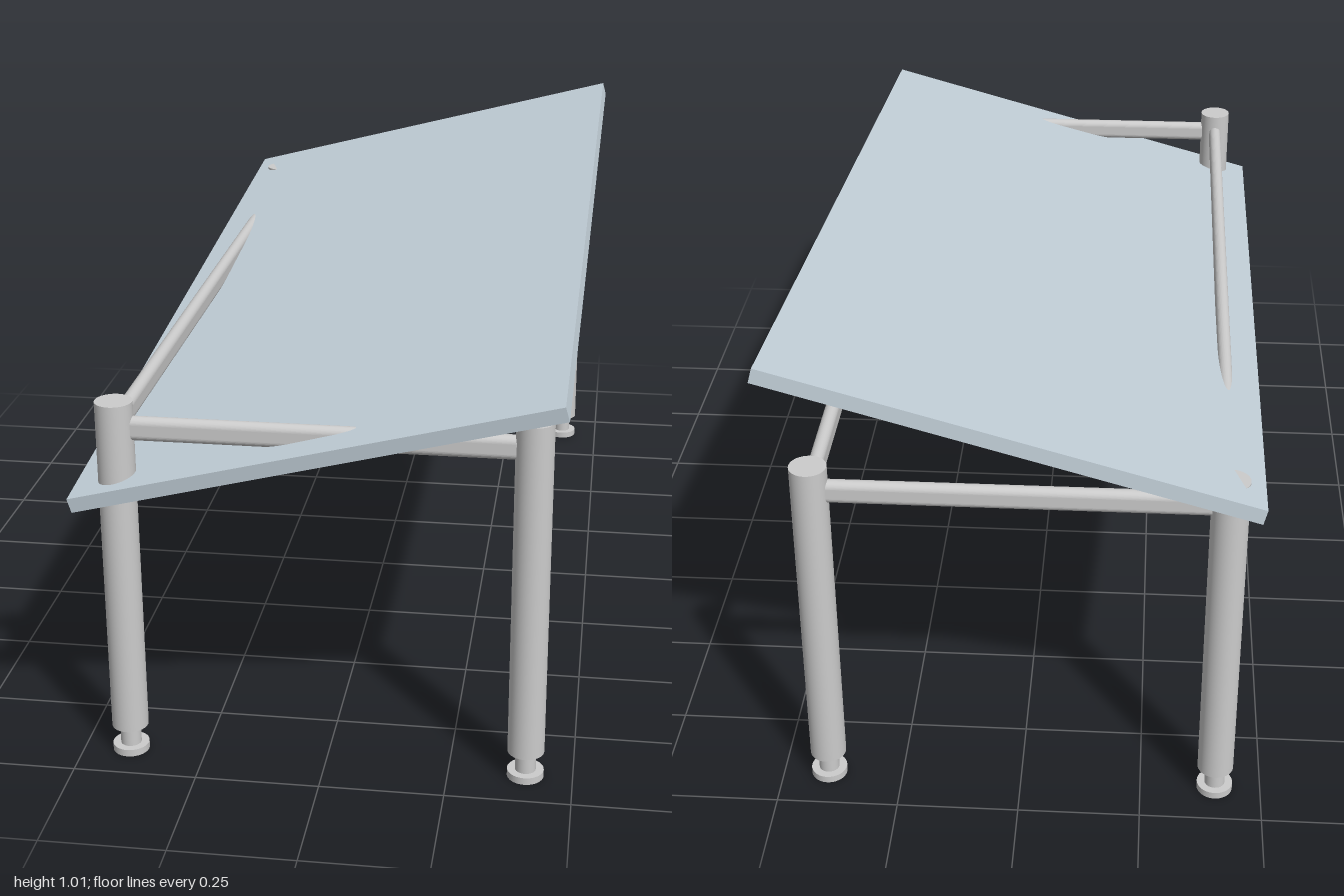
import * as THREE from 'three';

const grey = new THREE.MeshStandardMaterial({ color: 0xcccccc });
const topColor = new THREE.MeshStandardMaterial({ color: 0xc3d0d9 });
const LEG_X = 0.405, LEG_Z = 0.905, LEG_R = 0.037, RAIL_Y = 0.7125;

// Upright cylinder between two heights
function post(name, radius, y0, y1) {
  const mesh = new THREE.Mesh(new THREE.CylinderGeometry(radius, radius, y1 - y0, 40), grey);
  mesh.position.y = (y0 + y1) / 2;
  mesh.name = name;
  return mesh;
}

// Leg tube on a threaded neck and a levelling foot
function makeLeg(x, z) {
  const leg = new THREE.Group();
  leg.name = 'leg';
  leg.add(
    post('legTube', LEG_R, 0.057, 0.767),
    post('footNeck', 0.021, 0.01, 0.06),
    post('footDisc', LEG_R, 0, 0.015)
  );
  leg.position.set(x, 0, z);
  return leg;
}

// Flat-oval rail running along z, centred on its origin
function makeRail(name, length) {
  const r = 0.0145, h = 0.0245 - r;
  const oval = new THREE.Shape();
  oval.absarc(0, h, r, 0, Math.PI, false);
  oval.absarc(0, -h, r, Math.PI, Math.PI * 2, false);
  oval.closePath();
  const geo = new THREE.ExtrudeGeometry(oval, { depth: length, bevelEnabled: false, curveSegments: 16 });
  geo.translate(0, 0, -length / 2);
  const mesh = new THREE.Mesh(geo, grey);
  mesh.name = name;
  return mesh;
}

export function createModel() {
  const table = new THREE.Group();
  table.name = 'table';

  for (const s of [-1, 1]) {
    for (const t of [-1, 1]) table.add(makeLeg(s * LEG_X, t * LEG_Z));

    // Long side rail
    const side = makeRail('sideRail', 2 * LEG_Z - 0.05);
    side.position.set(s * LEG_X, RAIL_Y, 0);

    // Short end rail
    const end = makeRail('endRail', 2 * LEG_X - 0.05);
    end.rotation.y = Math.PI / 2;
    end.position.set(0, RAIL_Y, s * LEG_Z);
    table.add(side, end);
  }

  // Tilted table top: rises to the left and to the back
  const across = new THREE.Vector3(0.953, 0.2525, 0.033).normalize();
  const front = new THREE.Vector3(-0.02, -0.18, 1.965).normalize();
  const up = front.clone().cross(across).normalize();
  front.crossVectors(across, up);
  const top = new THREE.Mesh(new THREE.BoxGeometry(0.986, 0.0305, 1.973), topColor);
  top.name = 'tableTop';
  top.quaternion.setFromRotationMatrix(new THREE.Matrix4().makeBasis(across, up, front));
  top.position.y = 0.784;
  table.add(top);

  return table;
}
